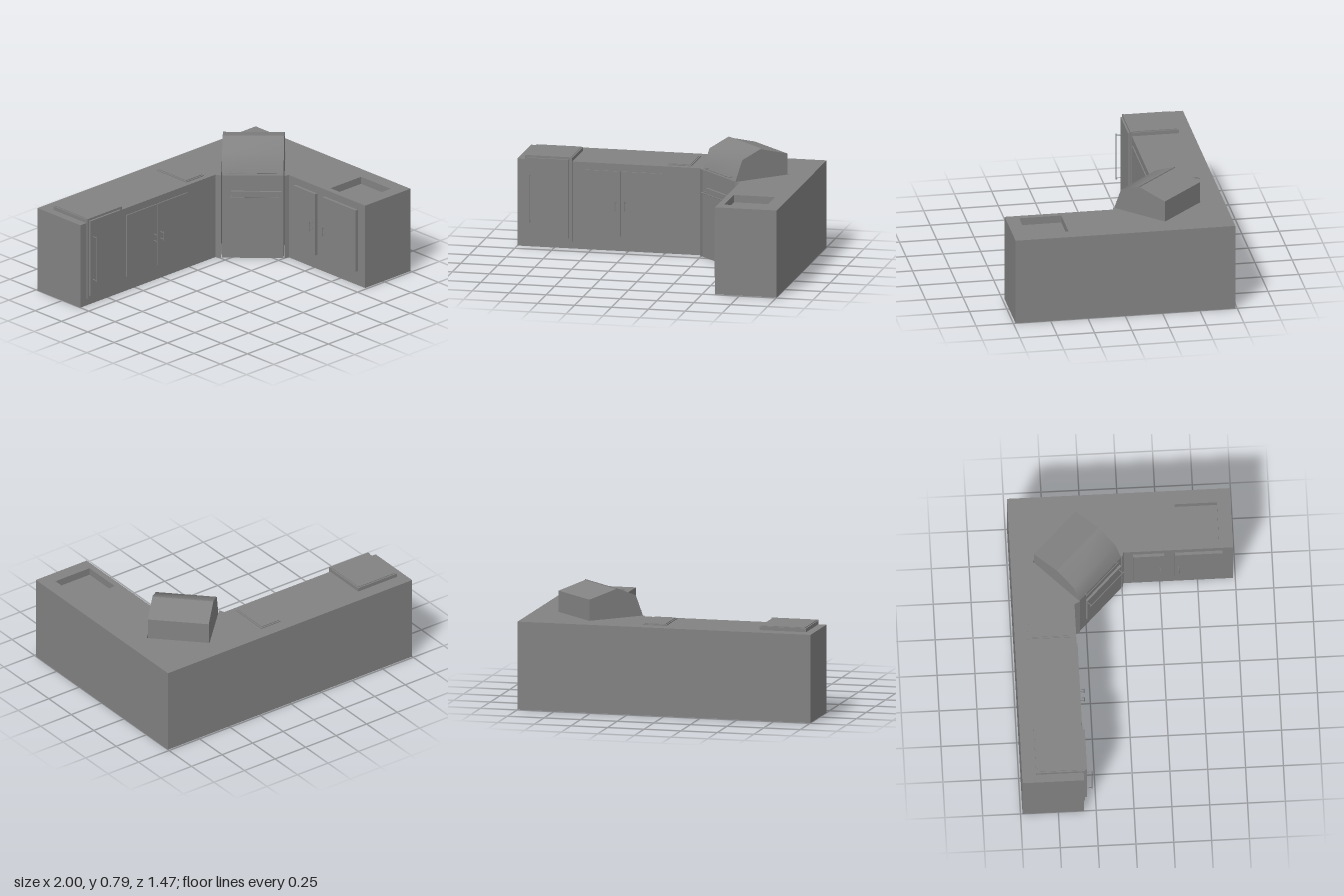
import * as THREE from 'three';
import { toCreasedNormals } from 'three/addons/utils/BufferGeometryUtils.js';

const material = new THREE.MeshStandardMaterial({ color: 0x828282 });
const TOP = 0.59;

function add(parent, name, geometry) {
  const mesh = new THREE.Mesh(geometry, material);
  mesh.name = name;
  parent.add(mesh);
  return mesh;
}

// Box given by its extents on each axis
function box(parent, name, [x0, x1], [y0, y1], [z0, z1]) {
  const mesh = add(parent, name, new THREE.BoxGeometry(x1 - x0, y1 - y0, z1 - z0));
  mesh.position.set((x0 + x1) / 2, (y0 + y1) / 2, (z0 + z1) / 2);
}

// Bar on two posts, standing out along +z; runs along y, or along x if horizontal
function handle(parent, name, x, y, z, length, reach, horizontal = false) {
  const group = new THREE.Group();
  group.name = name;
  const r = 0.003;
  const bar = add(group, 'bar', new THREE.CylinderGeometry(r, r, length, 10));
  bar.position.z = reach - r;
  for (const side of [-1, 1]) {
    const post = add(group, 'post', new THREE.CylinderGeometry(r, r, reach - r, 8));
    post.rotation.x = Math.PI / 2;
    post.position.set(0, side * (length / 2 - 0.012), (reach - r) / 2);
  }
  group.position.set(x, y, z);
  if (horizontal) group.rotation.z = Math.PI / 2;
  parent.add(group);
}

// Slab with a thin raised inner panel
function lid(parent, name, [x0, x1], [y0, y1], [z0, z1]) {
  const e = 0.009;
  box(parent, name, [x0, x1], [y0, y1 - 0.005], [z0, z1]);
  box(parent, name + 'Panel', [x0 + e, x1 - e], [y0, y1], [z0 + e, z1 - e]);
}

// L-shaped plan with a diagonal notch for the grill
function counterShape() {
  return new THREE.Shape([
    [-1, -0.737], [1, -0.737], [1, 0.735], [0.584, 0.735], [0.584, 0.01],
    [0.551, 0.003], [0.847, -0.293], [0.551, -0.589], [0.255, -0.293], [0.238, -0.33], [-1, -0.33],
  ].map(([x, z]) => new THREE.Vector2(x, z)));
}

function layer(parent, name, shape, bottom, top) {
  const geometry = new THREE.ExtrudeGeometry(shape, { depth: top - bottom, bevelEnabled: false });
  geometry.rotateX(Math.PI / 2).translate(0, top, 0);
  add(parent, name, geometry);
}

function buildCounter(root) {
  const sinkFloor = TOP - 0.05;
  layer(root, 'counterBase', counterShape(), 0, sinkFloor);
  // Upper layer is cut open for the sink
  const upper = counterShape();
  upper.holes.push(new THREE.Path([[0.626, 0.363], [0.626, 0.645], [0.905, 0.645], [0.905, 0.363]]
    .map(([x, z]) => new THREE.Vector2(x, z))));
  layer(root, 'counterTop', upper, sinkFloor, TOP);
}

function buildGrill(root) {
  const grill = new THREE.Group();
  grill.name = 'grill';
  grill.position.set(0.551, 0, -0.293);
  grill.rotation.y = -Math.PI / 4;
  root.add(grill);
  const h = 0.2035;
  box(grill, 'grillCabinet', [-h, h], [0, TOP], [-h, h]);

  // Hood: side profile swept across the width, with a small lip behind the ridge
  const profile = new THREE.Shape([
    [h, TOP], [0.15, 0.73], [0, 0.79], [-0.001, 0.784], [-h, 0.73], [-h, TOP],
  ].map(([z, y]) => new THREE.Vector2(-z, y)));
  const hood = new THREE.ExtrudeGeometry(profile, { depth: 2 * h, bevelEnabled: false });
  hood.translate(0, 0, -h).rotateY(Math.PI / 2);
  add(grill, 'grillHood', toCreasedNormals(hood, Math.PI / 3));
  handle(grill, 'hoodHandle', 0, 0.612, h - 0.012, 0.32, 0.03, true);

  // Cabinet door
  box(grill, 'grillDoor', [-0.145, 0.19], [0.13, 0.48], [h, h + 0.015]);
  handle(grill, 'grillDoorHandle', 0.012, 0.453, h + 0.015, 0.332, 0.035, true);
}

function buildFridge(root) {
  lid(root, 'fridgeTop', [-0.945, -0.627], [TOP, 0.62], [-0.644, -0.325]);
  box(root, 'fridgeFrame', [-0.945, -0.627], [0.05, 0.62], [-0.335, -0.32]);
  box(root, 'fridgeDoor', [-0.93, -0.65], [0.07, 0.605], [-0.32, -0.307]);
  handle(root, 'fridgeHandle', -0.905, 0.335, -0.307, 0.33, 0.037);
}

export function createModel() {
  const root = new THREE.Group();
  root.name = 'outdoorKitchen';
  buildCounter(root);
  buildGrill(root);
  buildFridge(root);
  lid(root, 'worktopLid', [0.008, 0.169], [TOP, 0.601], [-0.648, -0.367]);

  // Double doors on the long wing
  for (const side of [-1, 1]) {
    const xs = [-0.3 + side * 0.002, -0.3 + side * 0.28].sort((a, b) => a - b);
    box(root, 'cabinetDoor', xs, [0.1, 0.54], [-0.33, -0.323]);
    handle(root, 'cabinetHandle', -0.3 + side * 0.03, 0.31, -0.323, 0.07, 0.032);
  }

  // Doors on the short wing, built facing +z and turned to face -x
  const wing = new THREE.Group();
  wing.name = 'shortWingDoors';
  wing.position.x = 0.584;
  wing.rotation.y = -Math.PI / 2;
  root.add(wing);
  for (const [z0, z1, grip] of [[0.075, 0.28, 0.252], [0.35, 0.665, 0.375]]) {
    box(wing, 'wingDoor', [z0, z1], [0.1, 0.54], [0, 0.02]);
    handle(wing, 'wingHandle', grip, 0.31, 0.02, 0.07, 0.032);
  }
  return root;
}
